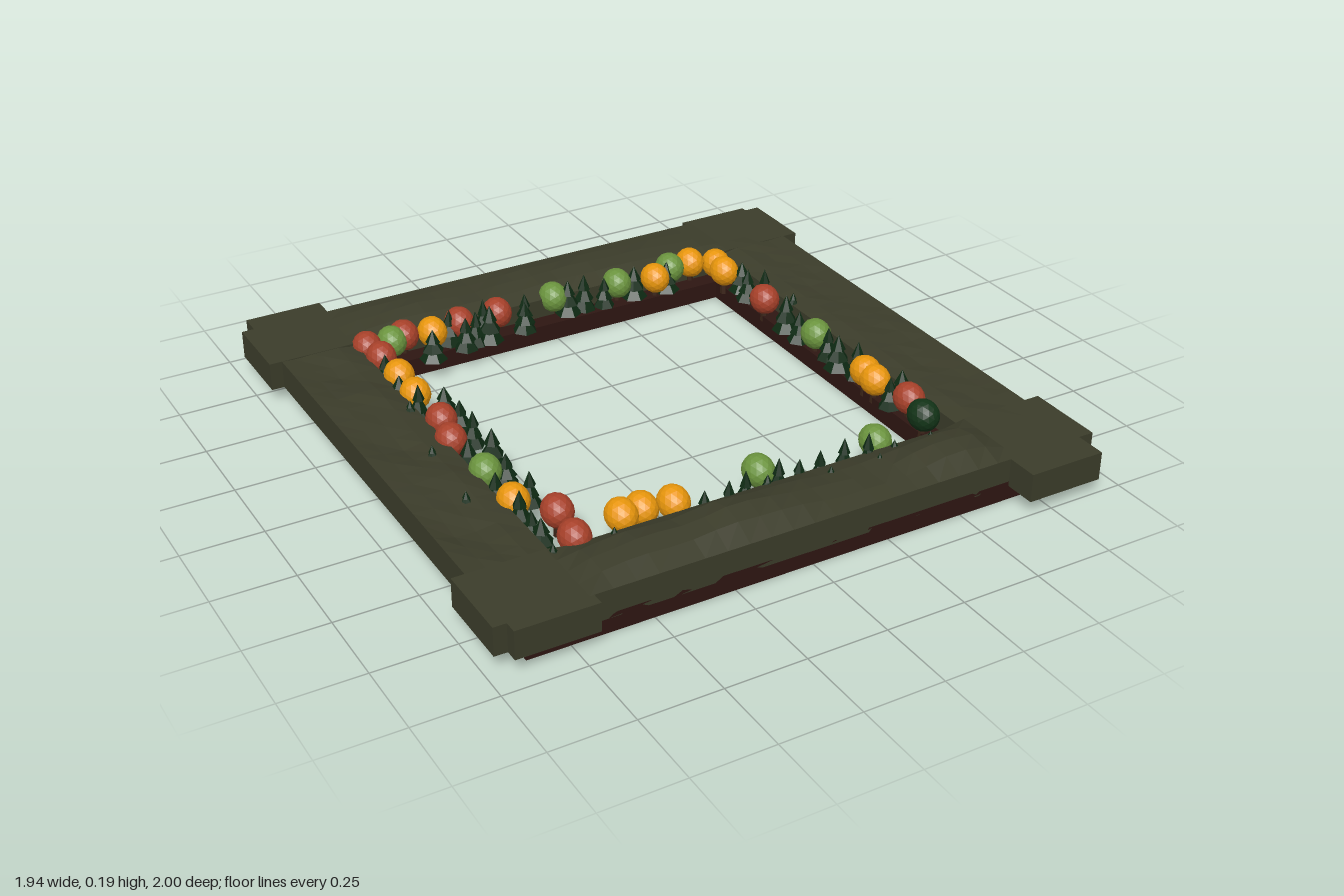
import * as THREE from 'three';
import { mergeGeometries } from 'three/addons/utils/BufferGeometryUtils.js';

const mat = (color) => new THREE.MeshStandardMaterial({ color, flatShading: true });

function add(parent, name, geometry, material, x = 0, y = 0, z = 0) {
  const m = new THREE.Mesh(geometry, material);
  m.name = name;
  m.position.set(x, y, z);
  parent.add(m);
  return m;
}

// Linear interpolation in a list of [position, height] pairs
function profile(points, t) {
  for (let i = 1; i < points.length; i++) {
    const [a, ha] = points[i - 1], [b, hb] = points[i];
    if (t <= b) return ha + (hb - ha) * Math.max(0, (t - a) / (b - a));
  }
  return points[points.length - 1][1];
}

const BOTTOM = 0.045, TOP = 0.135, HALF = 0.6575;

// Beam along x with a hilly top; inner is the z side facing the opening (+1 or -1)
function railGeometry(x0, x1, z0, z1, inner, hills) {
  const g = new THREE.BoxGeometry(x1 - x0, TOP - BOTTOM, z1 - z0, 28, 1, 4);
  g.translate((x0 + x1) / 2, (TOP + BOTTOM) / 2, (z0 + z1) / 2);
  const p = g.attributes.position;
  for (let i = 0; i < p.count; i++) {
    if (p.getY(i) < TOP - 0.001) continue;
    const x = p.getX(i);
    if (Math.abs(x) > HALF + 0.02) continue;
    const u = (p.getZ(i) - z0) / (z1 - z0);
    const across = inner > 0 ? u : 1 - u;              // 0 outer edge, 1 inner edge
    const ridge = [0.0, 0.75, 1, 0.6, 0][Math.round(across * 4)];
    const slope = across > 0.9 ? -0.012 : 0;
    p.setY(i, TOP + profile(hills, x) * ridge + slope + 0.003 * Math.sin(x * 23 + across * 9) * ridge);
  }
  return g;
}

// Frame: four overlapping beams whose ends stick out at the corners
const FRONT_HILLS = [[-0.7, 0.01], [-0.5, 0.038], [-0.35, 0.03], [-0.2, 0.05], [0, 0.032], [0.15, 0.012],
  [0.3, 0.006], [0.42, 0.03], [0.52, 0.046], [0.6, 0.04], [0.7, 0.012]];
const BACK_HILLS = [[-0.7, 0.005], [-0.45, 0.022], [-0.2, 0.006], [0, 0.018], [0.25, 0.02], [0.7, 0.004]];
const LEFT_HILLS = [[-0.7, 0], [-0.45, -0.022], [-0.2, 0.004], [0.05, -0.018], [0.35, 0.003], [0.5, -0.016], [0.7, 0]];
const RIGHT_HILLS = [[-0.7, 0], [-0.3, -0.012], [0, 0], [0.3, -0.01], [0.7, 0]];

function addFrame(group) {
  const m = mat(0x3b3c2a);
  add(group, 'frontRail', railGeometry(-0.97, 0.97, 0.65, 0.9, -1, FRONT_HILLS), m);
  add(group, 'backRail', railGeometry(-0.97, 0.97, -0.93, -0.68, 1, BACK_HILLS), m);
  // Side rails are built along x, then turned so that x becomes -z
  const left = railGeometry(-0.94, 1, -0.93, -0.68, 1, LEFT_HILLS);
  add(group, 'leftSideRail', left.rotateY(Math.PI / 2), m);
  const right = railGeometry(-1, 0.95, 0.67, 0.92, -1, RIGHT_HILLS);
  add(group, 'rightSideRail', right.rotateY(Math.PI / 2), m);
}

// Earth base: a flat square ring that leaves a narrow ledge inside the frame
function addBase(group) {
  const shape = new THREE.Shape([[-0.88, -0.9], [0.87, -0.9], [0.87, 0.9], [-0.88, 0.9]].map(([x, y]) => new THREE.Vector2(x, y)));
  shape.holes.push(new THREE.Path([[-0.62, -0.61], [-0.62, 0.62], [0.61, 0.62], [0.61, -0.61]].map(([x, y]) => new THREE.Vector2(x, y))));
  const g = new THREE.ExtrudeGeometry(shape, { depth: 0.06, bevelEnabled: false }).rotateX(-Math.PI / 2);
  add(group, 'earthBase', g, mat(0x2e1612));
}

// Conifer: three stacked six-sided cones on a trunk, one unit tall and one unit in radius
function coniferGeometry() {
  const parts = [new THREE.CylinderGeometry(0.2, 0.25, 0.25, 6).translate(0, 0.125, 0)];
  [[1, 0.1, 0.5], [0.78, 0.36, 0.42], [0.52, 0.62, 0.38]].forEach(([r, y, h], i) =>
    parts.push(new THREE.ConeGeometry(r, h, 6).rotateY(i * 0.5).translate(0, y + h / 2, 0)));
  return mergeGeometries(parts);
}

const TREES = {
  left: [[-0.58, -0.24], [-0.58, -0.13], [-0.58, -0.04], [-0.58, 0.09], [-0.59, 0.2], [-0.58, 0.33], [-0.66, 0.1],
    [-0.66, 0.43], [-0.66, 0.5], [-0.66, 0.56], [-0.67, 0.3], [-0.66, -0.25], [-0.67, -0.37], [-0.66, -0.5]],
  back: [[-0.46, -0.59], [-0.34, -0.6], [-0.3, -0.61], [-0.25, -0.61], [-0.12, -0.62], [-0.1, -0.66], [0.06, -0.66],
    [0.12, -0.66], [0.19, -0.65], [0.31, -0.66], [-0.37, -0.66], [-0.25, -0.66], [0.43, -0.65]],
  right: [[0.65, -0.52], [0.63, -0.45], [0.67, -0.41], [0.62, -0.2], [0.62, -0.12], [0.63, 0.03], [0.62, 0.1],
    [0.64, 0.18], [0.62, 0.38], [0.67, 0.37]],
  front: [[-0.2, 0.65], [-0.12, 0.65], [-0.06, 0.64], [0.05, 0.64], [0.12, 0.64], [0.19, 0.64], [0.28, 0.63], [0.35, 0.65]],
};
const SAPLINGS = [[-0.7, -0.22], [-0.75, 0.05], [-0.77, 0.32], [0.68, -0.25], [0.18, 0.71], [0.34, 0.72], [0.54, 0.69],
  [0.42, 0.68], [0, 0.66], [-0.5, 0.68], [-0.68, 0.67]];

function addConifers(group) {
  const g = coniferGeometry(), m = mat(0x0e2a13);
  for (const [side, spots] of Object.entries(TREES)) {
    spots.forEach(([x, z], i) => {
      const t = add(group, side + 'Conifer', g, m, x, 0.05, z);
      const r = side === 'front' ? 0.034 : 0.046 - 0.005 * (i % 3);
      t.scale.set(r, 0.115 + 0.008 * (i % 4), r);
      t.rotation.y = i * 0.7;
    });
  }
  for (const [x, z] of SAPLINGS) add(group, 'sapling', g, m, x, 0.1, z).scale.set(0.022, 0.06, 0.022);
}

// Round autumn trees, grouped by foliage colour
const CROWNS = [
  ['redTree', 0xa8412a, [[-0.65, -0.67], [-0.52, -0.68], [-0.33, -0.67], [-0.19, -0.68], [-0.64, -0.58], [-0.64, -0.13],
    [-0.66, -0.02], [-0.57, 0.48], [-0.59, 0.62], [0.62, -0.33], [0.64, 0.45]]],
  ['orangeTree', 0xe8960c, [[-0.43, -0.66], [0.38, -0.64], [0.54, -0.68], [0.62, -0.64], [0.61, -0.57], [-0.64, -0.44],
    [-0.64, -0.32], [-0.65, 0.37], [-0.43, 0.59], [-0.36, 0.58], [-0.27, 0.6], [0.62, 0.25], [0.62, 0.3]]],
  ['greenTree', 0x6b943e, [[0.02, -0.69], [0.25, -0.67], [0.46, -0.68], [0.63, -0.04], [-0.65, 0.19], [0.02, 0.58],
    [0.41, 0.6], [-0.57, -0.66]]],
  ['darkBush', 0x123317, [[0.62, 0.55]]],
];

function addRoundTrees(group) {
  const crown = new THREE.IcosahedronGeometry(1, 2);
  const trunk = new THREE.CylinderGeometry(0.01, 0.013, 0.05, 6);
  const bark = mat(0x3a2418);
  for (const [name, color, spots] of CROWNS) {
    const m = mat(color);
    spots.forEach(([x, z], i) => {
      add(group, name + 'Crown', crown, m, x, 0.119 + 0.003 * (i % 3), z).scale.set(0.047, 0.05, 0.055);
      add(group, name + 'Trunk', trunk, bark, x, 0.065, z);
    });
  }
}

export function createModel() {
  const model = new THREE.Group();
  model.name = 'forestFrame';
  for (const [name, build] of [['frame', addFrame], ['base', addBase], ['conifers', addConifers], ['roundTrees', addRoundTrees]]) {
    const part = new THREE.Group();
    part.name = name;
    build(part);
    model.add(part);
  }
  return model;
}
